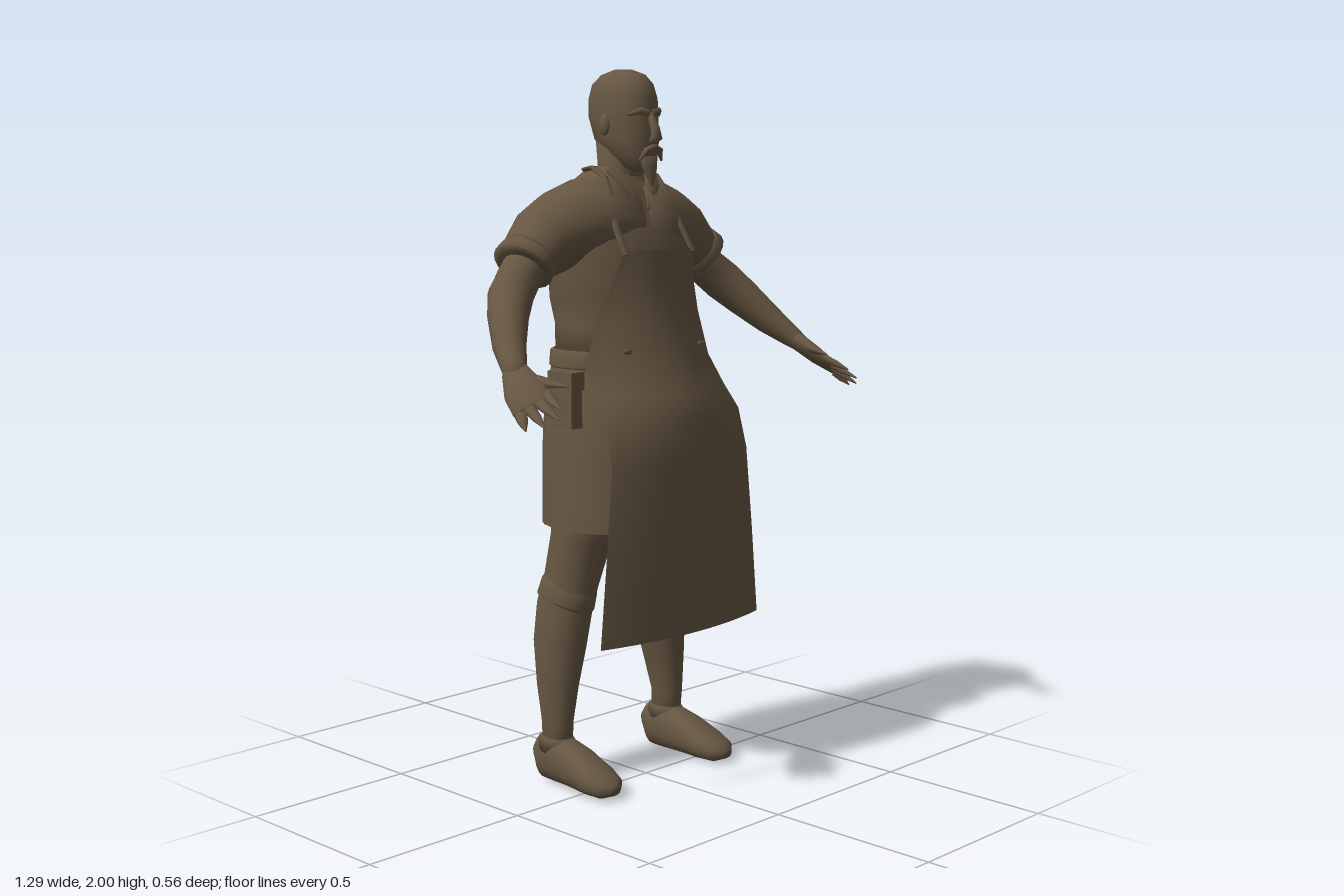
import * as THREE from 'three';

const brown = new THREE.MeshStandardMaterial({ color: 0x665642, side: THREE.DoubleSide });
brown.name = 'brown';
const V = (x, y, z) => new THREE.Vector3(x, y, z);

// Skin a list of {c, u, v} elliptical rings; n > 2 makes them squarer
function skin(rings, { seg = 20, n = 2, caps = true } = {}) {
  const pos = [], idx = [];
  const bend = (t) => Math.sign(t) * Math.pow(Math.abs(t), 2 / n);
  for (const { c, u, v } of rings) {
    for (let j = 0; j < seg; j++) {
      const a = (j / seg) * Math.PI * 2;
      const p = c.clone().addScaledVector(u, bend(Math.cos(a))).addScaledVector(v, bend(Math.sin(a)));
      pos.push(p.x, p.y, p.z);
    }
  }
  for (let i = 0; i < rings.length - 1; i++) {
    for (let j = 0; j < seg; j++) {
      const a = i * seg + j, b = i * seg + (j + 1) % seg;
      idx.push(a, a + seg, b, b, a + seg, b + seg);
    }
  }
  if (caps) {
    const last = (rings.length - 1) * seg, k = rings.length * seg;
    for (const r of [rings[0], rings[rings.length - 1]]) pos.push(r.c.x, r.c.y, r.c.z);
    for (let j = 0; j < seg; j++) {
      const m = (j + 1) % seg;
      idx.push(k, j, m, k + 1, last + m, last + j);
    }
  }
  return geometry(pos, idx);
}

function geometry(pos, idx) {
  const g = new THREE.BufferGeometry();
  g.setAttribute('position', new THREE.Float32BufferAttribute(pos, 3));
  g.setIndex(idx);
  g.computeVertexNormals();
  return g;
}

// Level rings listed from the bottom up: [y, half width, front z, back z]
const stack = (rows, opt) => skin(rows.map(([y, rx, zf, zb]) => ({
  c: V(0, y, (zf + zb) / 2), u: V(rx, 0, 0), v: V(0, 0, (zf - zb) / 2),
})), opt);

// Limb along a path: [x, y, z, thickness radius, width radius], width lies along ref
function limb(rows, ref, opt) {
  const p = rows.map((r) => V(r[0], r[1], r[2]));
  return skin(rows.map((r, i) => {
    const t = p[Math.min(i + 1, p.length - 1)].clone().sub(p[Math.max(i - 1, 0)]).normalize();
    const v = ref.clone().addScaledVector(t, -ref.dot(t)).normalize();
    const u = t.clone().cross(v);
    return { c: p[i], u: u.multiplyScalar(r[3]), v: v.multiplyScalar(r[4]) };
  }), opt);
}

// Apron sheet: rows of [y, half width, middle z, edge z]
function apronSheet() {
  const rows = [
    [1.51, 0.135, 0.08, 0.05], [1.42, 0.16, 0.08, 0.03], [1.33, 0.2, 0.085, 0.01],
    [1.2, 0.245, 0.115, 0.01], [1.12, 0.255, 0.155, 0.06], [1.05, 0.265, 0.18, 0.11],
    [0.94, 0.27, 0.185, 0.137], [0.7, 0.294, 0.185, 0.14], [0.45, 0.318, 0.185, 0.14],
  ];
  const pos = [], idx = [], n = 12;
  rows.forEach(([y, w, zc, ze], i) => {
    for (let j = 0; j <= n; j++) {
      const s = (j / n) * 2 - 1;
      pos.push(s * w, y, zc + (ze - zc) * s * s);
      if (i && j) {
        const d = i * (n + 1) + j, c = d - 1, b = d - n - 1, a = b - 1;
        idx.push(a, c, b, b, c, d);
      }
    }
  });
  return geometry(pos, idx);
}

export function createModel() {
  const model = new THREE.Group();
  const add = (name, g) => {
    const m = new THREE.Mesh(g, brown);
    m.name = name;
    model.add(m);
    return m;
  };

  // Clothes on the trunk
  add('shirt', stack([
    [1.18, 0.21, 0.04, -0.24], [1.3, 0.196, 0.05, -0.258], [1.37, 0.205, 0.05, -0.274],
    [1.5, 0.222, 0.042, -0.27], [1.6, 0.215, 0, -0.262], [1.67, 0.165, -0.03, -0.238],
    [1.72, 0.095, -0.045, -0.2],
  ], { seg: 28, n: 2.2 }));
  add('skirt', stack([
    [0.74, 0.25, 0.135, -0.28], [0.95, 0.247, 0.12, -0.277], [1.1, 0.235, 0.09, -0.27],
    [1.2, 0.213, 0.045, -0.245],
  ], { seg: 28, n: 2.4, caps: false }));
  add('belt', stack([
    [1.185, 0.22, 0.045, -0.248], [1.19, 0.224, 0.05, -0.255], [1.23, 0.218, 0.05, -0.255], [1.235, 0.208, 0.045, -0.248],
  ], { seg: 28, n: 2.3, caps: false }));
  add('apron', apronSheet());
  add('collar', stack([
    [1.695, 0.1, -0.03, -0.205], [1.725, 0.085, -0.042, -0.19], [1.735, 0.072, -0.045, -0.175],
  ], { caps: false }));
  add('pouch', new THREE.BoxGeometry(0.04, 0.15, 0.085)).position.set(-0.252, 1.105, -0.06);
  add('pouchFlap', new THREE.BoxGeometry(0.048, 0.05, 0.095)).position.set(-0.252, 1.16, -0.06);
  add('skirtPatch', new THREE.BoxGeometry(0.008, 0.07, 0.1)).position.set(0.25, 0.815, -0.06);
  const ring = add('beltRing', new THREE.TorusGeometry(0.024, 0.006, 6, 14));
  ring.position.set(0.238, 1.175, -0.03);
  ring.rotation.y = Math.PI / 2;

  // Head and face
  add('neck', stack([
    [1.65, 0.085, -0.04, -0.18], [1.72, 0.064, -0.035, -0.163], [1.82, 0.066, -0.02, -0.175],
  ]));
  add('head', stack([
    [1.722, 0.022, 0.002, -0.045], [1.735, 0.042, 0.012, -0.075], [1.77, 0.064, 0.02, -0.12],
    [1.81, 0.078, 0.021, -0.172], [1.87, 0.083, 0.018, -0.194], [1.92, 0.079, 0.017, -0.198],
    [1.96, 0.068, 0.005, -0.188], [1.986, 0.046, -0.018, -0.16], [2, 0.016, -0.06, -0.12],
  ], { seg: 24, n: 2.15 }));
  add('nose', limb([
    [0, 1.88, 0.014, 0.008, 0.009], [0, 1.84, 0.034, 0.013, 0.013], [0, 1.815, 0.04, 0.015, 0.018],
    [0, 1.8, 0.022, 0.01, 0.012],
  ], V(1, 0, 0), { seg: 10 }));
  add('beard', limb([
    [0, 1.762, 0.008, 0.012, 0.034], [0, 1.73, 0.014, 0.014, 0.025], [0, 1.682, 0.025, 0.003, 0.003],
  ], V(1, 0, 0), { seg: 10 }));

  for (const s of [1, -1]) {
    const side = s > 0 ? 'left' : 'right';
    const part = (name, rows, ref, opt) =>
      add(side + name, limb(rows.map(([x, ...r]) => [x * s, ...r]), V(ref.x * s, ref.y, ref.z), opt));
    const X = V(1, 0, 0), Z = V(0, 0, 1), palm = V(0.13, -0.09, -0.03);

    // Face halves
    part('Brow', [[0.008, 1.88, 0.018, 0.01, 0.007], [0.035, 1.887, 0.014, 0.01, 0.008], [0.062, 1.876, -0.012, 0.004, 0.004]], Z, { seg: 8 });
    part('Moustache', [[0, 1.79, 0.03, 0.009, 0.01], [0.025, 1.78, 0.027, 0.01, 0.01], [0.043, 1.752, 0.016, 0.003, 0.003]], Z, { seg: 8 });
    const ear = add(side + 'Ear', new THREE.SphereGeometry(1, 10, 8));
    ear.scale.set(0.01, 0.03, 0.018);
    ear.position.set(s * 0.082, 1.85, -0.08);

    // Shoulder running into the sleeve, rolled cuff and arm
    part('Sleeve', [
      [0.01, 1.59, -0.125, 0.125, 0.14], [0.11, 1.578, -0.128, 0.128, 0.14], [0.2, 1.56, -0.134, 0.113, 0.12],
      [0.265, 1.535, -0.134, 0.1, 0.1], [0.315, 1.498, -0.13, 0.08, 0.09], [0.345, 1.476, -0.125, 0.07, 0.08],
    ], Z);
    part('Cuff', [
      [0.318, 1.498, -0.127, 0.074, 0.085], [0.325, 1.493, -0.127, 0.08, 0.088], [0.348, 1.473, -0.124, 0.084, 0.092],
      [0.352, 1.469, -0.123, 0.064, 0.072],
    ], Z);
    part('Arm', [
      [0.29, 1.53, -0.13, 0.055, 0.06], [0.37, 1.44, -0.118, 0.058, 0.06], [0.42, 1.395, -0.095, 0.06, 0.062],
      [0.465, 1.345, -0.055, 0.055, 0.055], [0.515, 1.28, 0.005, 0.044, 0.045], [0.555, 1.225, 0.07, 0.03, 0.033],
      [0.565, 1.21, 0.09, 0.024, 0.034],
    ], palm);
    part('Hand', [
      [0.558, 1.22, 0.075, 0.026, 0.036], [0.58, 1.178, 0.135, 0.022, 0.056], [0.598, 1.145, 0.185, 0.014, 0.056],
    ], palm, { seg: 14 });
    // Pointed fingers fanned across the palm
    const tips = [[0.575, 1.145, 0.262], [0.594, 1.12, 0.278], [0.622, 1.1, 0.255], [0.645, 1.09, 0.21]];
    tips.forEach((tip, i) => {
      const k = (i - 1.5) * 0.028;
      const base = [0.592 + k * 0.81, 1.15 - k * 0.56, 0.178 - k * 0.19];
      const mid = base.map((b, a) => b * 0.5 + tip[a] * 0.5);
      part('Finger' + (i + 1), [[...base, 0.012, 0.017], [...mid, 0.01, 0.013], [...tip, 0.002, 0.002]], palm, { seg: 8 });
    });
    part('Thumb', [[0.565, 1.205, 0.09, 0.016, 0.026], [0.54, 1.2, 0.155, 0.013, 0.018], [0.515, 1.192, 0.23, 0.002, 0.002]], palm, { seg: 8 });

    // Apron strap, collar flap and button
    part('Strap', [
      [0.132, 1.5, 0.054, 0.005, 0.012], [0.128, 1.57, 0.012, 0.006, 0.012], [0.115, 1.65, -0.022, 0.006, 0.012],
      [0.102, 1.708, -0.06, 0.006, 0.012], [0.088, 1.732, -0.12, 0.006, 0.012], [0.055, 1.725, -0.185, 0.006, 0.012],
      [0, 1.712, -0.208, 0.006, 0.012],
    ], V(1, 0.3, -0.3), { seg: 8 });
    part('CollarFlap', [
      [0.08, 1.728, -0.065, 0.005, 0.02], [0.05, 1.69, -0.026, 0.006, 0.026], [0.012, 1.62, -0.003, 0.004, 0.004],
    ], X, { seg: 8 });
    const button = add(side + 'Button', new THREE.SphereGeometry(1, 10, 6));
    button.scale.set(0.018, 0.008, 0.006);
    button.position.set(s * 0.145, 1.24, 0.073);

    // Leg, stocking top, shoe and shoe rim
    part('Leg', [
      [0.222, 0.09, -0.135, 0.038, 0.046], [0.224, 0.18, -0.133, 0.041, 0.05], [0.217, 0.28, -0.139, 0.054, 0.065],
      [0.203, 0.4, -0.143, 0.072, 0.08], [0.19, 0.5, -0.138, 0.074, 0.085], [0.175, 0.58, -0.125, 0.075, 0.082],
      [0.155, 0.7, -0.105, 0.088, 0.086], [0.125, 0.85, -0.09, 0.11, 0.12],
    ], Z);
    part('StockingTop', [
      [0.19, 0.515, -0.136, 0.074, 0.084], [0.188, 0.522, -0.134, 0.079, 0.089], [0.181, 0.565, -0.126, 0.078, 0.085],
      [0.18, 0.57, -0.124, 0.073, 0.08],
    ], Z, { caps: false });
    part('Shoe', [
      [0.221, 0.055, -0.202, 0.028, 0.044], [0.221, 0.064, -0.185, 0.044, 0.064], [0.222, 0.07, -0.12, 0.05, 0.07],
      [0.224, 0.058, -0.04, 0.056, 0.058], [0.228, 0.042, 0.03, 0.061, 0.042], [0.23, 0.031, 0.08, 0.05, 0.03],
      [0.231, 0.027, 0.105, 0.022, 0.014],
    ], V(0, 1, 0), { n: 2.3 });
    part('ShoeRim', [
      [0.223, 0.09, -0.14, 0.046, 0.058], [0.223, 0.125, -0.136, 0.047, 0.058], [0.223, 0.135, -0.136, 0.039, 0.049],
    ], Z);
  }
  return model;
}
